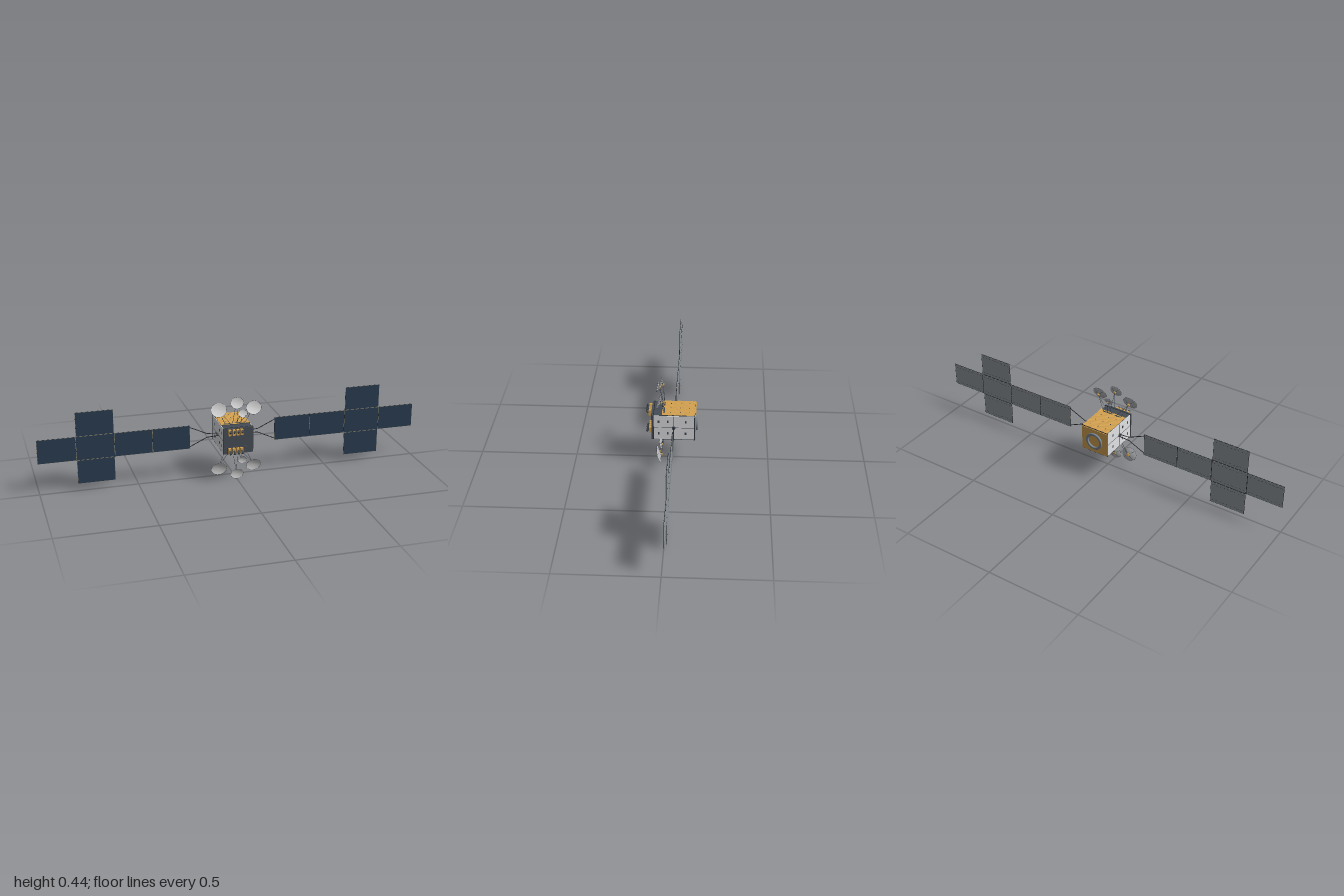
import * as THREE from 'three';

const mat = (name, color, double) => {
  const m = new THREE.MeshStandardMaterial({ color });
  m.name = name;
  if (double) m.side = THREE.DoubleSide;
  return m;
};

export function createModel() {
  const root = new THREE.Group();
  root.name = 'satellite';
  const CY = 0.2225, PZ = -0.0125;
  const gold = mat('gold foil', 0xd4a250);
  const silver = mat('silver panel', 0xe2e3e5);
  const dark = mat('dark structure', 0x454c54);
  const black = mat('black trim', 0x24282c);
  const navy = mat('solar cell navy', 0x293b50);
  const grey = mat('panel back grey', 0x92989d);
  const tan = mat('panel edge tan', 0x8a8266);
  const dishFace = mat('dish face', 0xd4d4d4, true);
  const dishBack = mat('dish back', 0xb2b4b6, true);
  const ringMat = mat('adapter ring', 0x7a8692, true);

  const add = (name, geo, material, x = 0, y = 0, z = 0, parent = root) => {
    const m = new THREE.Mesh(geo, material);
    m.name = name;
    m.position.set(x, y, z);
    parent.add(m);
    return m;
  };
  const box = (name, material, w, h, d, x, y, z, parent) =>
    add(name, new THREE.BoxGeometry(w, h, d), material, x, y, z, parent);
  // Straight rod between two points
  const rod = (name, material, a, b, r, parent = root) => {
    const p = new THREE.Vector3(...a), q = new THREE.Vector3(...b);
    const m = add(name, new THREE.CylinderGeometry(r, r, p.distanceTo(q), 6), material, 0, 0, 0, parent);
    m.position.copy(p).add(q).multiplyScalar(0.5);
    m.quaternion.setFromUnitVectors(new THREE.Vector3(0, 1, 0), q.sub(p).normalize());
    return m;
  };

  // Main body with front deck and foil-covered back
  box('bodyCore', dark, 0.148, 0.136, 0.215, 0, CY, -0.0125);
  box('frontDeck', dark, 0.156, 0.138, 0.011, 0, CY, 0.0945);
  box('frontDeckRim', black, 0.157, 0.139, 0.003, 0, CY, 0.091);
  box('backFrame', black, 0.154, 0.138, 0.003, 0, CY, -0.119);
  box('backFoil', gold, 0.15, 0.134, 0.004, 0, CY, -0.1225);

  // Crinkled foil blankets with dark edges on the top and bottom
  for (const s of [1, -1]) {
    const g = new THREE.BoxGeometry(0.15, 0.004, 0.168, 10, 1, 12);
    const p = g.attributes.position;
    for (let i = 0; i < p.count; i++) {
      if (p.getY(i) * s < 0) continue;
      const u = Math.round(p.getX(i) / 0.015), v = Math.round(p.getZ(i) / 0.014);
      p.setY(i, p.getY(i) + s * 0.0013 * Math.sin(u * 2.3 + v * 1.7 + Math.sin(u * v)));
    }
    const flat = g.toNonIndexed();
    flat.computeVertexNormals();
    add('foilBlanket', flat, [dark, dark, gold, gold, dark, dark], 0, CY + s * 0.07, -0.036);
    for (const x of [-0.045, 0, 0.045]) for (const z of [-0.09, -0.045, 0.005])
      box('foilFastener', dark, 0.004, 0.002, 0.004, x, CY + s * 0.0725, z);
  }

  // Silver side walls with seams, vents and the drive hub
  for (const s of [1, -1]) {
    box('sideWall', silver, 0.003, 0.134, 0.207, s * 0.0755, CY, -0.0125);
    box('sideSeam', dark, 0.0012, 0.002, 0.207, s * 0.0772, CY, -0.0125);
    box('sideSeam', dark, 0.0012, 0.134, 0.002, s * 0.0772, CY, PZ);
    for (const z of [0.064, 0.018, -0.073]) for (const dy of [0.034, -0.034])
      box('sideVent', dark, 0.002, 0.014, 0.009, s * 0.0775, CY + dy, z);
    const hub = add('driveHub', new THREE.CylinderGeometry(0.009, 0.009, 0.008, 20), dark, s * 0.08, CY, PZ);
    hub.rotation.z = Math.PI / 2;
  }

  // Docking ring on the back
  const profile = [[0.034, 0], [0.034, 0.009], [0.037, 0.01], [0.045, 0.01], [0.047, 0.008], [0.047, 0]]
    .map(([r, h]) => new THREE.Vector2(r, h));
  const ring = add('adapterRing', new THREE.LatheGeometry(profile, 40), ringMat, 0, CY, -0.1235);
  ring.rotation.x = -Math.PI / 2;

  // Feed boxes and angled horns on the front deck
  for (const s of [1, -1]) {
    box('feedRail', dark, 0.12, 0.036, 0.004, 0, CY + s * 0.05, 0.101);
    for (const x of [-0.048, -0.026, -0.006, 0.014]) {
      box('feedBox', gold, 0.014, 0.03, 0.018, x, CY + s * 0.05, 0.109);
      const horn = add('feedHorn', new THREE.CylinderGeometry(0.006, 0.0045, 0.023, 12), dark,
        x, CY + s * 0.053, 0.121);
      horn.rotation.x = s > 0 ? 0.8 : Math.PI - 0.8;
    }
  }

  // Oval reflector dishes, mirrored above and below: x, height from centre, z, radius, tilt
  const dishes = [
    [-0.092, 0.16, 0.064, 0.041, 0.3],
    [0, 0.193, 0.074, 0.033, 0.2],
    [0.091, 0.156, 0.063, 0.039, 0.3],
    [0.035, 0.127, 0.057, 0.023, 0.25],
  ];
  const bowl = (r, back) => new THREE.LatheGeometry(
    [0.001, 0.3, 0.6, 0.82, 1].map(t => new THREE.Vector2(r * t, r * 0.17 * (t * t - 1) - back)), 32);
  for (const s of [1, -1]) for (const [x, h, z, r, tilt] of dishes) {
    const d = new THREE.Group();
    d.name = 'reflectorDish';
    d.position.set(x, CY + s * h, z);
    d.rotation.x = -s * tilt;
    d.scale.y = 0.88;
    root.add(d);
    add('dishFace', bowl(r, 0), dishFace, 0, 0, 0, d).rotation.x = Math.PI / 2;
    add('dishShell', bowl(r, 0.0012), dishBack, 0, 0, 0, d).rotation.x = Math.PI / 2;
    add('dishRim', new THREE.TorusGeometry(r, 0.0006, 5, 32), dark, 0, 0, 0, d);
    const hz = -r * 0.38;
    for (let i = 0; i < 4; i++) {
      const a = (i + 0.5) * Math.PI / 2;
      rod('dishRib', dark, [0, 0, hz], [Math.cos(a) * r * 0.92, Math.sin(a) * r * 0.92, -r * 0.05], 0.0009, d);
    }
    box('dishHub', gold, r * 0.28, r * 0.28, r * 0.2, 0, 0, hz, d);
    // Pair of support struts down to the body
    d.updateMatrix();
    const end = new THREE.Vector3(0, 0, hz).applyMatrix4(d.matrix).toArray();
    for (const o of [-0.015, 0.015])
      rod('dishStrut', dark, [x * 0.4 + o, CY + s * 0.068, 0.0375], end, 0.001);
    box('strutFoot', dark, 0.034, 0.004, 0.006, x * 0.4, CY + s * 0.071, 0.0375);
  }

  // One solar panel: navy cells with a tan edge in front, grey back with dark dashes
  const solarPanel = (x, y, w, h) => {
    const g = new THREE.Group();
    g.name = 'solarPanel';
    g.position.set(x, y, PZ);
    root.add(g);
    box('panelFrame', black, w, h, 0.0022, 0, 0, 0, g);
    box('panelEdge', tan, w, h, 0.0004, 0, 0, 0.0013, g);
    box('panelCells', navy, w - 0.002, h - 0.002, 0.0005, 0, 0, 0.0016, g);
    box('panelBack', grey, w - 0.003, h - 0.003, 0.0006, 0, 0, -0.0013, g);
    for (const e of [-1, 1]) for (let i = 0; i < 9; i++)
      box('backDash', black, 0.009, 0.0012, 0.0004, (i - 4) * w / 9.5, e * h * 0.37, -0.0017, g);
  };

  // Solar wings and their yokes on both sides
  const W = 0.1938, H = 0.125;
  for (const s of [1, -1]) {
    for (let i = 0; i < 4; i++) {
      const x = s * (0.225 + W * (i + 0.5));
      solarPanel(x, CY, W - 0.001, H);
      if (i === 2) for (const e of [1, -1]) solarPanel(x, CY + e * 0.1265, W - 0.004, H);
    }
    for (const e of [1, -1]) {
      const elbow = [s * 0.135, CY + e * 0.01, PZ];
      rod('yokeInner', black, [s * 0.078, CY + e * 0.007, PZ], elbow, 0.002);
      rod('yokeOuter', black, elbow, [s * 0.227, CY + e * 0.053, PZ], 0.002);
    }
  }
  return root;
}
